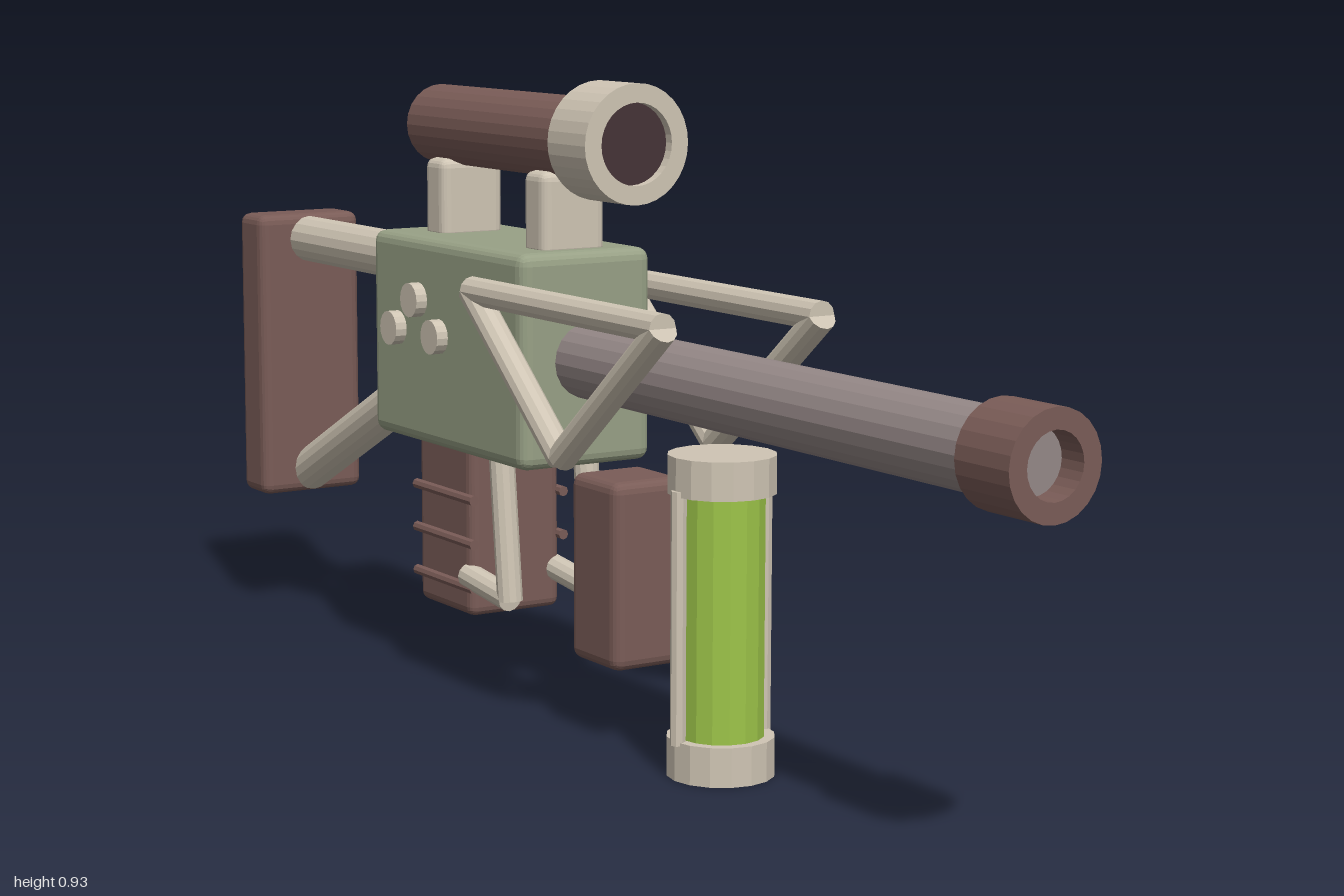
import * as THREE from 'three';
import { RoundedBoxGeometry } from 'three/addons/geometries/RoundedBoxGeometry.js';

const paint = (name, color) => new THREE.MeshStandardMaterial({ name, color, flatShading: true });

export function createModel() {
  const model = new THREE.Group();
  model.name = 'toyBlaster';

  const green = paint('sage green', 0x98a186);
  const cream = paint('cream', 0xcfc5b4);
  const brown = paint('brown', 0x7a5c57);
  const grey = paint('warm grey', 0x958887);
  const lime = paint('lime', 0x9dc449);
  const dark = paint('dark lens', 0x463437);

  const add = (name, geometry, material) => {
    const mesh = new THREE.Mesh(geometry, material);
    mesh.name = name;
    model.add(mesh);
    return mesh;
  };

  // rounded block given by half width and its y and z ranges
  const block = (name, halfX, y0, y1, z0, z1, radius, material) =>
    add(name, new RoundedBoxGeometry(halfX * 2, y1 - y0, z1 - z0, 2, radius), material)
      .position.set(0, (y0 + y1) / 2, (z0 + z1) / 2);

  // cylinder between two points
  const rod = (name, from, to, radius, material, sides = 16) => {
    const a = new THREE.Vector3(...from);
    const b = new THREE.Vector3(...to);
    const dir = b.clone().sub(a);
    const mesh = add(name, new THREE.CylinderGeometry(radius, radius, dir.length(), sides), material);
    mesh.position.copy(a).add(b).multiplyScalar(0.5);
    mesh.quaternion.setFromUnitVectors(new THREE.Vector3(0, 1, 0), dir.normalize());
  };

  // hollow ring along z
  const ring = (name, y, z0, z1, outer, inner, material, sides) => {
    const profile = [[inner, z0], [outer, z0], [outer, z1], [inner, z1], [inner, z0]]
      .map(([r, z]) => new THREE.Vector2(r, z));
    const geometry = new THREE.LatheGeometry(profile, sides).rotateX(Math.PI / 2);
    add(name, geometry, material).position.y = y;
  };

  // receiver
  block('body', 0.11, 0.375, 0.688, -0.485, -0.03, 0.018, green);

  // barrel and muzzle
  rod('barrel', [0, 0.53, -0.04], [0, 0.53, 0.96], 0.055, grey, 20);
  ring('muzzle', 0.53, 0.9, 1, 0.07, 0.043, brown, 24);

  // scope with its lens and mounts
  rod('scopeTube', [0, 0.848, -0.46], [0, 0.848, 0.02], 0.06, brown, 24);
  ring('scopeBell', 0.848, 0, 0.1, 0.085, 0.058, cream, 32);
  rod('scopeLens', [0, 0.848, 0.02], [0, 0.848, 0.085], 0.0585, dark, 32);
  for (const z of [-0.095, -0.39]) {
    block('scopeMount', 0.053, 0.675, 0.8, z - 0.03, z + 0.03, 0.014, cream);
  }

  // shoulder stock
  rod('upperStockTube', [0, 0.63, -0.46], [0, 0.63, -0.93], 0.038, cream);
  rod('lowerStockTube', [0, 0.47, -0.46], [0, 0.235, -0.93], 0.035, cream);
  block('buttPlate', 0.092, 0.2, 0.672, -1, -0.915, 0.016, brown);

  // grips under the body
  block('foreGrip', 0.06, 0.11, 0.38, 0.017, 0.14, 0.016, brown);
  block('rearGrip', 0.078, 0.12, 0.39, -0.4, -0.237, 0.014, brown);

  for (const s of [-1, 1]) {
    // ribs on the rear grip
    for (const y of [0.165, 0.233, 0.3]) {
      rod('gripRib', [s * 0.078, y, -0.405], [s * 0.078, y, -0.227], 0.008, brown, 8);
    }

    // guard rods between the grips
    rod('guardUpright', [s * 0.072, 0.385, -0.155], [s * 0.072, 0.165, -0.132], 0.019, cream, 12);
    rod('guardFoot', [s * 0.072, 0.168, -0.132], [s * 0.072, 0.182, -0.255], 0.019, cream, 12);

    // triangular side frames
    const x = s * 0.128;
    const corners = [[x, 0.628, 0.363], [x, 0.628, -0.14], [x, 0.42, 0.108]];
    corners.forEach((corner, i) =>
      rod('sideFrameRod', corner, corners[(i + 1) % 3], 0.021, cream, 12));

    // round side buttons
    for (const [y, z] of [[0.545, -0.272], [0.594, -0.335], [0.545, -0.4]]) {
      rod('sideButton', [s * 0.105, y, z], [s * 0.128, y, z], 0.026, cream, 16);
    }

    // canister braces
    rod('canisterBrace', [s * 0.07, 0.05, 0.315], [s * 0.07, 0.4, 0.315], 0.011, cream, 8);
  }

  // canister
  rod('canisterBase', [0, 0, 0.315], [0, 0.055, 0.315], 0.075, cream);
  rod('canisterGlass', [0, 0.05, 0.315], [0, 0.395, 0.315], 0.06, lime);
  rod('canisterCap', [0, 0.392, 0.315], [0, 0.445, 0.315], 0.075, cream);

  return model;
}
